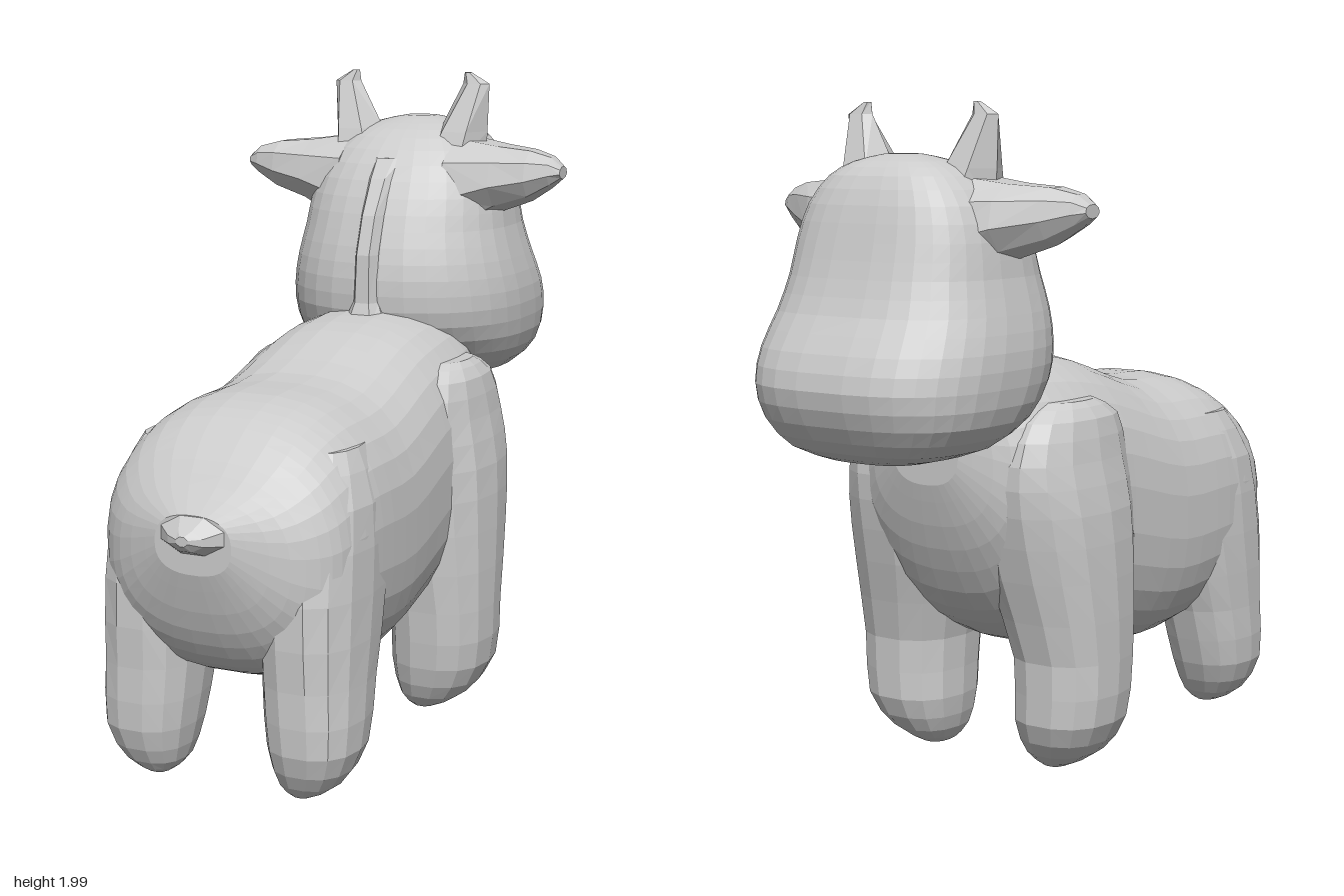
import * as THREE from 'three';

const material = new THREE.MeshStandardMaterial({ color: 0xcccccc, flatShading: true });

// Catmull-Rom refinement of a list of rows
function refine(rows, sub) {
  const out = [];
  for (let i = 0; i < rows.length - 1; i++) {
    const p = [rows[Math.max(i - 1, 0)], rows[i], rows[i + 1], rows[Math.min(i + 2, rows.length - 1)]];
    for (let s = 0; s < sub; s++) {
      const u = s / sub;
      out.push(p[1].map((v, k) => {
        const [a, b, c, d] = p.map((r) => r[k]);
        return b + 0.5 * u * (c - a + u * (2 * a - 5 * b + 4 * c - d + u * (3 * (b - c) + d - a)));
      }));
    }
  }
  out.push(rows[rows.length - 1]);
  return out;
}

// Skin rounded cross-sections along an axis. Row: [t, aMin, aMax, bMin, bMax],
// with t rising and a, b the two axes that follow in x-y-z order.
// powLow / powHigh: squareness of the half towards aMin / aMax.
function loft(rows, axis, { sides = 16, sub = 2, powLow = 2.4, powHigh = powLow } = {}) {
  const rings = refine(rows, sub);
  const pos = [], index = [];
  const put = (t, a, b) => {
    const v = [0, 0, 0];
    v[axis] = t; v[(axis + 1) % 3] = a; v[(axis + 2) % 3] = b;
    pos.push(...v);
  };
  for (const [t, a0, a1, b0, b1] of rings) {
    for (let j = 0; j < sides; j++) {
      const th = ((j + 0.5) / sides) * Math.PI * 2;
      const c = Math.cos(th), s = Math.sin(th);
      const e = 2 / (c < 0 ? powLow : powHigh);
      put(t, (a0 + a1) / 2 + (a1 - a0) / 2 * Math.sign(c) * Math.abs(c) ** e,
        (b0 + b1) / 2 + (b1 - b0) / 2 * Math.sign(s) * Math.abs(s) ** e);
    }
  }
  const n = rings.length;
  for (let i = 0; i < n - 1; i++) {
    for (let j = 0; j < sides; j++) {
      const k = (j + 1) % sides, a = i * sides, b = a + sides;
      index.push(a + j, a + k, b + k, a + j, b + k, b + j);
    }
  }
  // end caps
  for (const i of [0, n - 1]) {
    const [t, a0, a1, b0, b1] = rings[i];
    const centre = pos.length / 3;
    put(t, (a0 + a1) / 2, (b0 + b1) / 2);
    for (let j = 0; j < sides; j++) {
      const p = i * sides + j, q = i * sides + (j + 1) % sides;
      if (i) index.push(centre, p, q); else index.push(centre, q, p);
    }
  }
  const g = new THREE.BufferGeometry();
  g.setAttribute('position', new THREE.Float32BufferAttribute(pos, 3));
  g.setIndex(index);
  g.computeVertexNormals();
  return g;
}

// Mirrored copy across x = 0, with the winding turned round
function mirrored(geometry) {
  const g = geometry.clone();
  const p = g.attributes.position;
  for (let i = 0; i < p.count; i++) p.setX(i, -p.getX(i));
  g.index.array.reverse();
  g.computeVertexNormals();
  return g;
}

export function createModel() {
  const group = new THREE.Group();
  const add = (name, geometry) => {
    const mesh = new THREE.Mesh(geometry, material);
    mesh.name = name;
    group.add(mesh);
  };
  const addPair = (name, geometry) => {
    add('left' + name, geometry);
    add('right' + name, mirrored(geometry));
  };

  // Body, from chest to rump: [z, xMin, xMax, yMin, yMax]
  const body = [
    [-0.53, 0.12, 0.88, 1.08], [-0.47, 0.27, 0.68, 1.16], [-0.36, 0.34, 0.48, 1.24],
    [-0.18, 0.37, 0.36, 1.25], [0.02, 0.38, 0.31, 1.22], [0.3, 0.395, 0.265, 1.135],
    [0.55, 0.4, 0.29, 1.12], [0.7, 0.39, 0.33, 1.08], [0.8, 0.36, 0.38, 1.01],
    [0.88, 0.27, 0.5, 0.92], [0.94, 0.12, 0.68, 0.85],
  ].map(([z, w, y0, y1]) => [z, -w, w, y0, y1]);
  add('body', loft(body, 2, { sides: 32, sub: 3, powLow: 2.5 }));

  // Head, from chin to crown, with a broad blunt muzzle: [y, zMin, zMax, halfWidth]
  const head = [
    [0.985, -0.84, -0.52, 0.16], [1.02, -0.91, -0.42, 0.28], [1.1, -0.97, -0.29, 0.36],
    [1.2, -1.0, -0.2, 0.385], [1.3, -0.97, -0.18, 0.385], [1.4, -0.91, -0.19, 0.365],
    [1.5, -0.87, -0.22, 0.34], [1.6, -0.84, -0.26, 0.325], [1.7, -0.81, -0.32, 0.29],
    [1.78, -0.77, -0.4, 0.22], [1.82, -0.72, -0.49, 0.14], [1.84, -0.66, -0.57, 0.05],
  ].map(([y, z0, z1, w]) => [y, z0, z1, -w, w]);
  add('head', loft(head, 1, { sides: 32, powLow: 3, powHigh: 2.2 }));

  // Mane ridge down the back of the neck
  add('mane', loft([
    [1.2, -0.32, -0.12, -0.08, 0.08], [1.28, -0.3, -0.15, -0.045, 0.045],
    [1.43, -0.3, -0.158, -0.04, 0.04], [1.55, -0.35, -0.2, -0.04, 0.04],
    [1.66, -0.4, -0.27, -0.045, 0.045], [1.72, -0.42, -0.33, -0.055, 0.055],
  ], 1, { sides: 8, sub: 1, powLow: 3 }));

  // Legs: [y, zMin, zMax, xMin, xMax]
  addPair('FrontLeg', loft([
    [0, -0.23, -0.11, 0.19, 0.27], [0.05, -0.3, -0.05, 0.15, 0.36],
    [0.16, -0.36, -0.01, 0.125, 0.435], [0.35, -0.365, 0.01, 0.12, 0.45],
    [0.6, -0.43, 0.04, 0.06, 0.45], [0.8, -0.475, 0.05, 0.05, 0.44],
    [0.95, -0.48, 0.04, 0.1, 0.41], [1.07, -0.42, 0.0, 0.15, 0.385],
    [1.12, -0.32, -0.1, 0.2, 0.34],
  ], 1, { sides: 14 }));
  addPair('HindLeg', loft([
    [0.01, 0.66, 0.77, 0.2, 0.27], [0.05, 0.61, 0.81, 0.16, 0.34],
    [0.16, 0.55, 0.855, 0.13, 0.4], [0.35, 0.49, 0.86, 0.11, 0.405],
    [0.6, 0.4, 0.865, 0.1, 0.405], [0.85, 0.4, 0.81, 0.1, 0.39],
    [1.0, 0.45, 0.7, 0.15, 0.33],
  ], 1, { sides: 14 }));

  // Ears: [x, yMin, yMax, zMin, zMax]
  addPair('Ear', loft([
    [0.18, 1.46, 1.79, -0.74, -0.34], [0.33, 1.55, 1.765, -0.67, -0.37],
    [0.44, 1.59, 1.755, -0.59, -0.395], [0.51, 1.635, 1.735, -0.54, -0.42],
    [0.545, 1.665, 1.705, -0.51, -0.44],
  ], 0, { sides: 9, sub: 1, powLow: 2.1 }));

  // Horns: [y, zMin, zMax, xMin, xMax]
  addPair('Horn', loft([
    [1.7, -0.68, -0.4, 0.06, 0.26], [1.8, -0.63, -0.44, 0.1, 0.265],
    [1.95, -0.56, -0.51, 0.18, 0.27], [1.985, -0.545, -0.525, 0.185, 0.21],
  ], 1, { sides: 6, sub: 1, powLow: 2 }));

  // Stub of a tail: [z, xMin, xMax, yMin, yMax]
  add('tail', loft([
    [0.85, -0.2, 0.2, 0.64, 0.94], [0.93, -0.12, 0.12, 0.73, 0.86],
    [0.98, -0.06, 0.06, 0.755, 0.82], [1.0, -0.02, 0.02, 0.775, 0.805],
  ], 2, { sides: 8, sub: 1, powLow: 1.8 }));

  return group;
}
